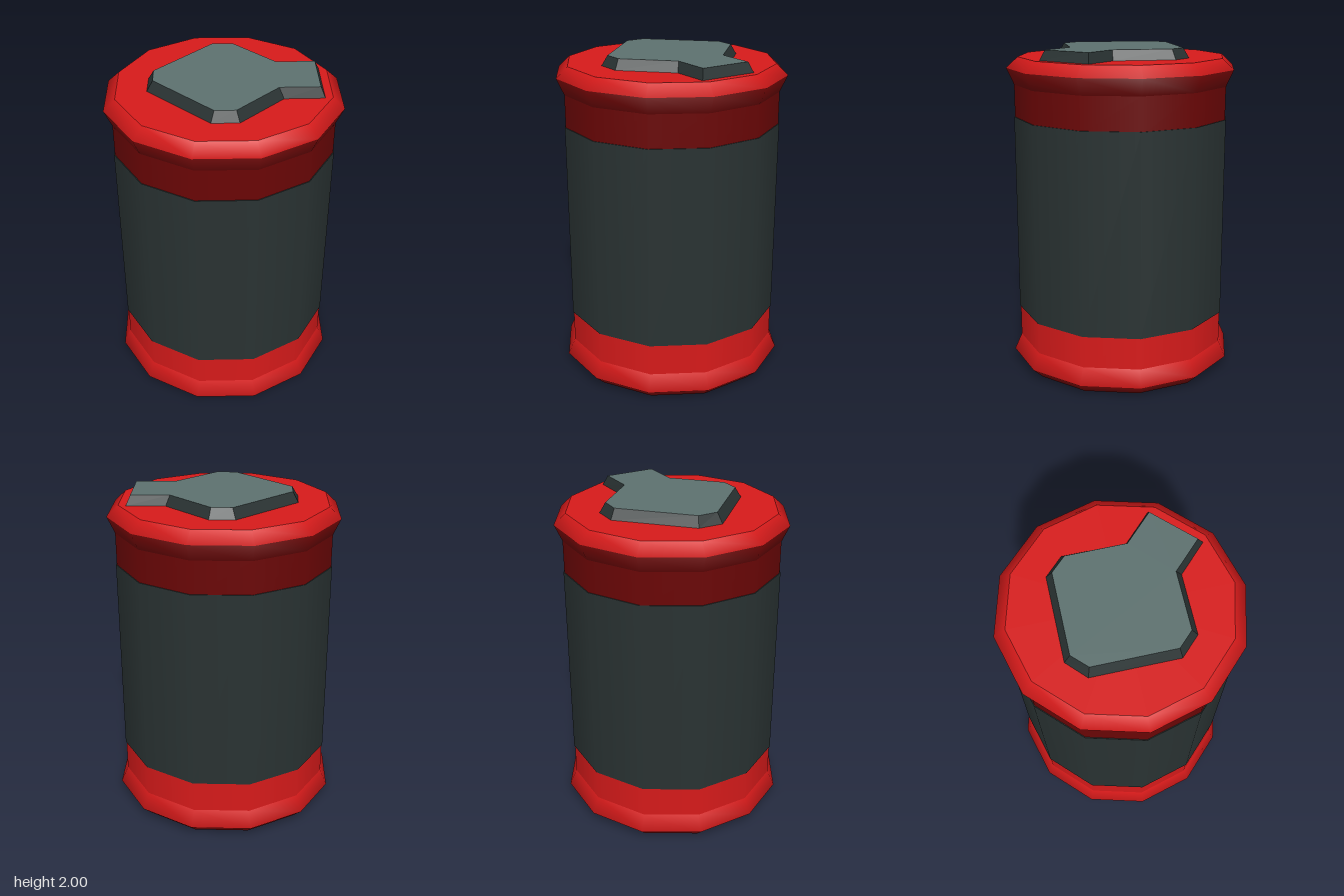
import * as THREE from 'three';

const SIDES = 12;

function material(name, color) {
  const m = new THREE.MeshStandardMaterial({ color });
  m.name = name;
  return m;
}

function mesh(name, geometry, mat, y = 0) {
  const m = new THREE.Mesh(geometry, mat);
  m.name = name;
  m.position.y = y;
  return m;
}

// Smooth revolved rim with one material group per band of the profile
function rimGeometry(profile) {
  const g = new THREE.LatheGeometry(profile.map(([r, y]) => new THREE.Vector2(r, y)), SIDES);
  const source = Array.from(g.index.array);
  const bands = profile.length - 1;
  const index = [];
  for (let j = 0; j < bands; j++) {
    g.addGroup(index.length, SIDES * 6, j);
    for (let i = 0; i < SIDES; i++) {
      const start = (i * bands + j) * 6;
      index.push(...source.slice(start, start + 6));
    }
  }
  g.setIndex(index);
  return g;
}

// Twelve-sided flat disc facing up, or down when flipped
function discGeometry(radius, flip) {
  return new THREE.CircleGeometry(radius, SIDES).rotateX(flip ? Math.PI / 2 : -Math.PI / 2);
}

// Flat-faced sloping band between two matching [x, z] outlines
function bevelGeometry(lower, upper, y0, y1) {
  const v = [];
  lower.forEach((p, i) => {
    const j = (i + 1) % lower.length;
    const a = [p[0], y0, p[1]], b = [lower[j][0], y0, lower[j][1]];
    const c = [upper[i][0], y1, upper[i][1]], d = [upper[j][0], y1, upper[j][1]];
    v.push(...b, ...a, ...c, ...b, ...c, ...d);
  });
  const g = new THREE.BufferGeometry();
  g.setAttribute('position', new THREE.Float32BufferAttribute(v, 3));
  g.computeVertexNormals();
  return g;
}

export function createModel() {
  const red = material('red', 0xd61a1a);
  const darkRed = material('dark red', 0x6a0505);
  const deepRed = material('deep red', 0x3c0303);
  const darkGrey = material('dark grey', 0x293232);
  const lightGrey = material('light grey', 0x5c706e);
  const model = new THREE.Group();
  model.name = 'canister';

  // Dark sleeve around the middle
  model.add(mesh('sleeve', new THREE.CylinderGeometry(0.66, 0.66, 1.22, SIDES), darkGrey, 0.97));

  // Straight collar walls above and below the sleeve
  const wall = new THREE.CylinderGeometry(0.655, 0.655, 0.215, SIDES, 1, true);
  model.add(mesh('bottomCollar', wall, red, 0.2725));
  model.add(mesh('topCollar', wall, darkRed, 1.6675));

  // Flared rims: surfaces facing down are dark red
  const lower = [[0.63, 0], [0.7, 0.065], [0.655, 0.165]];
  const upper = lower.map(([r, y]) => [r, 1.94 - y]).reverse();
  model.add(mesh('bottomRim', rimGeometry(lower), [darkRed, red]));
  model.add(mesh('topRim', rimGeometry(upper), [darkRed, red]));

  // Flat ends
  model.add(mesh('bottomCap', discGeometry(0.63, true), deepRed));
  model.add(mesh('topCap', discGeometry(0.63, false), red, 1.94));

  // Raised plate with a pouring spout towards the back left corner
  const base = [[-0.36, -0.255], [-0.255, -0.36], [0.11, -0.36], [0.27, -0.525], [0.522, -0.275],
    [0.36, -0.11], [0.36, 0.25], [0.25, 0.36], [-0.255, 0.36], [-0.36, 0.25]];
  const top = [[-0.325, -0.245], [-0.24, -0.328], [0.108, -0.328], [0.267, -0.49], [0.488, -0.272],
    [0.325, -0.107], [0.325, 0.24], [0.24, 0.325], [-0.24, 0.325], [-0.325, 0.24]];
  const plate = new THREE.Group();
  plate.name = 'lidPlate';
  plate.add(mesh('plateBevel', bevelGeometry(base, top, 1.94, 2), darkGrey));
  const face = new THREE.ShapeGeometry(new THREE.Shape(top.map(([x, z]) => new THREE.Vector2(x, -z))));
  plate.add(mesh('plateFace', face.rotateX(-Math.PI / 2), lightGrey, 2));
  model.add(plate);

  return model;
}
